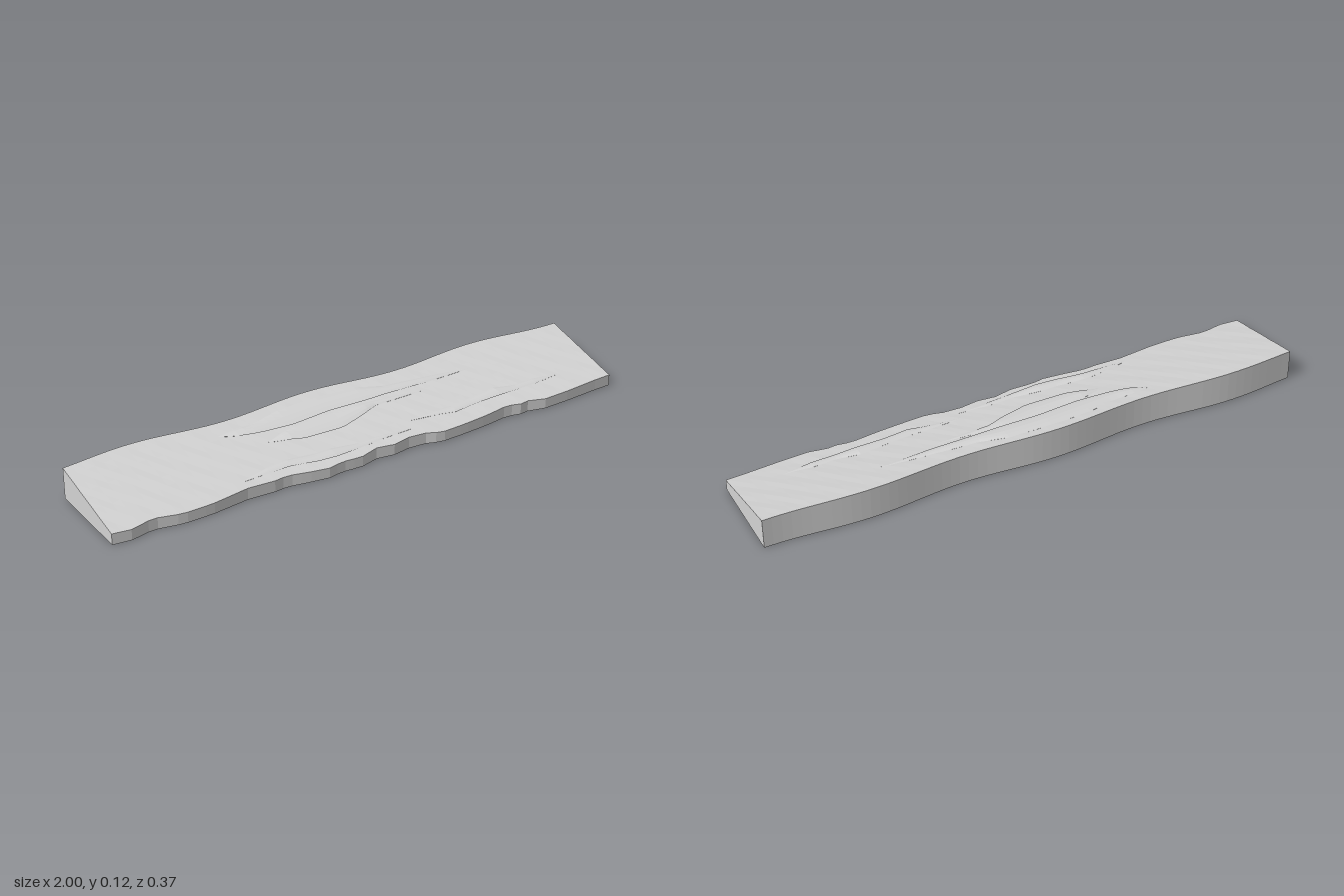
import * as THREE from 'three';

const snow = new THREE.MeshStandardMaterial({ color: 0xd4d4d4 });
snow.name = 'pale grey';

// Height of the sloping top
const ramp = (z) => 0.0775 - 0.217 * z;

// Linear lookup of column k in rows sorted by their first value
function lookup(rows, x, k) {
  let i = 0;
  while (i < rows.length - 2 && x > rows[i + 1][0]) i++;
  const a = rows[i], b = rows[i + 1];
  const t = THREE.MathUtils.clamp((x - a[0]) / (b[0] - a[0]), 0, 1);
  return a[k] + (b[k] - a[k]) * t;
}

// Closed loops [z, y] (front bottom, over the top, back bottom) joined along x
function loft(name, xs, section) {
  const pos = [], index = [];
  let n = 0;
  xs.forEach((x, i) => {
    const loop = section(x, i);
    n = loop.length;
    loop.forEach(([z, y]) => pos.push(x, y, z));
  });
  for (let i = 0; i < xs.length - 1; i++) {
    for (let j = 0; j < n; j++) {
      const a = i * n + j, c = i * n + (j + 1) % n;
      index.push(a, a + n, c, a + n, c + n, c);
    }
  }
  const last = (xs.length - 1) * n;
  for (let j = 1; j < n - 1; j++) {
    index.push(0, j, j + 1, last, last + j + 1, last + j);
  }
  const indexed = new THREE.BufferGeometry();
  indexed.setAttribute('position', new THREE.Float32BufferAttribute(pos, 3));
  indexed.setIndex(index);
  const geometry = indexed.toNonIndexed();
  geometry.computeVertexNormals();
  const mesh = new THREE.Mesh(geometry, snow);
  mesh.name = name;
  return mesh;
}

const steps = (a, b, n) => Array.from({ length: n + 1 }, (_, i) => a + (b - a) * i / n);

// Ragged front edge [x, z]
const frontEdge = [
  [-1, 0.17], [-0.93, 0.178], [-0.85, 0.16], [-0.75, 0.18], [-0.64, 0.178], [-0.5, 0.16],
  [-0.4, 0.165], [-0.35, 0.16], [-0.27, 0.175], [-0.2, 0.185], [-0.15, 0.175], [-0.07, 0.18],
  [0, 0.162], [0.07, 0.172], [0.13, 0.16], [0.2, 0.165], [0.25, 0.184], [0.35, 0.18],
  [0.45, 0.172], [0.55, 0.158], [0.6, 0.17], [0.63, 0.165], [0.7, 0.182], [0.8, 0.178],
  [0.93, 0.168], [1, 0.165],
];
const backEdge = (x) => -0.177 - 0.0115 * Math.cos((x + 0.06) * Math.PI * 2 / 0.69);

// Drift outlines [x, front z, back z]
const drifts = {
  backDrift: [
    [-0.46, -0.1, -0.103], [-0.39, -0.07, -0.115], [-0.32, -0.058, -0.115], [-0.2, -0.05, -0.143],
    [-0.05, -0.063, -0.148], [0.1, -0.06, -0.143], [0.2, -0.062, -0.11], [0.35, -0.06, -0.095],
    [0.54, -0.068, -0.072],
  ],
  middleDrift: [
    [-0.32, -0.008, -0.012], [-0.25, 0.012, -0.035], [-0.2, 0.027, -0.045], [-0.05, 0.031, -0.055],
    [0.05, 0.002, -0.06], [0.12, -0.025, -0.054], [0.22, -0.028, -0.045], [0.32, -0.031, -0.034],
  ],
  frontDrift: [
    [-0.5, 0.128, 0.124], [-0.4, 0.128, 0.1], [-0.32, 0.128, 0.088], [-0.22, 0.145, 0.1],
    [-0.15, 0.15, 0.1], [-0.05, 0.142, 0.115], [0.05, 0.133, 0.112], [0.16, 0.127, 0.124],
  ],
  sideDrift: [
    [0.18, 0.088, 0.084], [0.3, 0.104, 0.078], [0.36, 0.118, 0.078], [0.45, 0.107, 0.07],
    [0.56, 0.105, 0.055], [0.63, 0.102, 0.072], [0.72, 0.1, 0.07], [0.82, 0.087, 0.083],
  ],
};
// Drift cross-section: [distance from lip to back, lift]
const driftProfile = [[0, 0.0055], [0.25, 0.0075], [0.5, 0.0075], [0.75, 0.0048], [1, 0]];

export function createModel() {
  const group = new THREE.Group();
  group.name = 'slopingBank';

  // Wedge-shaped bank with a slightly uneven top
  group.add(loft('bank', steps(-1, 1, 60), (x, i) => {
    const f = lookup(frontEdge, x, 1), b = backEdge(x);
    const top = steps(f, b, 8).map((z, j) => {
      const bump = j > 0 && j < 8 ? 0.0006 * Math.sin(i * 1.7 + j * 2.3) : 0;
      return [z, ramp(z) + bump];
    });
    return [[f, 0], ...top, [b, 0]];
  }));

  // Thin drifts with an undercut front lip
  for (const [name, outline] of Object.entries(drifts)) {
    const x0 = outline[0][0], x1 = outline[outline.length - 1][0];
    group.add(loft(name, steps(x0, x1, 32), (x) => {
      const f = lookup(outline, x, 1), b = lookup(outline, x, 2);
      const s = Math.min(1, (f - b) / 0.05);
      const foot = f + (b - f) * 0.2;
      const top = driftProfile.map(([t, lift]) => {
        const z = f + (b - f) * t;
        return [z, ramp(z) + lift * s];
      });
      return [[foot, ramp(foot) - 0.002], ...top, [b, ramp(b) - 0.002]];
    }));
  }
  return group;
}
